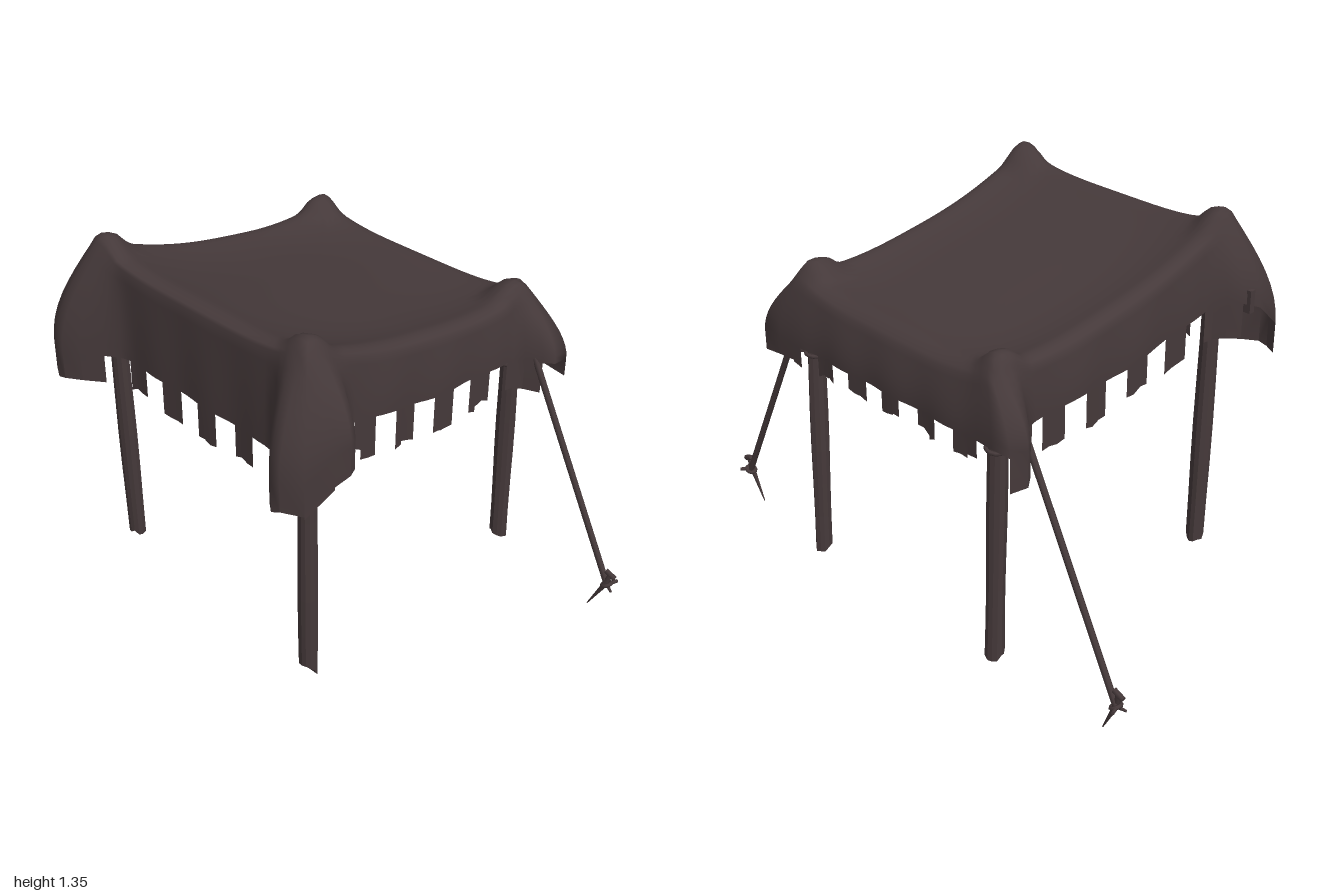
import * as THREE from 'three';

const fabric = new THREE.MeshStandardMaterial({ color: 0x45393a, side: THREE.DoubleSide });
fabric.name = 'dark brown';

const V = (x, y, z) => new THREE.Vector3(x, y, z);
const lerp = THREE.MathUtils.lerp;
const hash = (n) => { const s = Math.sin(n * 12.9898 + 4.1) * 43758.5453; return s - Math.floor(s); };

// ---- Canopy: square rings from the centre outwards, then down the skirt ----
const COLS = 35, TOTAL = COLS * 4;
const HALF_X = 0.5, MID_Z = -0.04, HALF_Z = 0.535;
// capX and capZ: where the cloth bulges over the pole
const POLES = [
  { x: 0.452, zTop: 0.45, zBottom: 0.443, top: 1.33, bottom: 0.04, cut: 0.035, capX: 0.442, capZ: 0.435 },
  { x: -0.46, zTop: 0.455, zBottom: 0.435, top: 1.31, bottom: 0.1, cut: 0.012, capX: -0.46, capZ: 0.46 },
  { x: 0.455, zTop: -0.515, zBottom: -0.55, top: 1.12, bottom: 0.06, cut: 0.015, capX: 0.45, capZ: -0.49 },
  { x: -0.46, zTop: -0.515, zBottom: -0.545, top: 1.09, bottom: 0.08, cut: 0.015, capX: -0.46, capZ: -0.51 },
];

// height of the sagging cloth, s and t run from -1 to 1
function clothHeight(s, t) {
  const a = (s + 1) / 2, b = (t + 1) / 2;
  let y = lerp(lerp(1.145, 1.165, a), lerp(1.36, 1.375, a), b);
  const sagZ = 1 - Math.abs(t) ** (t > 0 ? 2.3 : 3);
  y -= 0.068 * (1 - s ** 4) + 0.09 * sagZ - 0.03 * (1 - s * s) * (1 - t * t);
  const x = s * HALF_X, z = MID_Z + t * HALF_Z;
  for (const p of POLES) y += 0.04 * Math.exp(-((((x - p.capX) ** 2 + (z - p.capZ) ** 2) / 0.0042) ** 2));
  const r = Math.max(Math.abs(s), Math.abs(t));
  return y - 0.04 * Math.max(0, (r - 0.88) / 0.12) ** 2 - 0.04 * (s * t) ** 10;
}

// position on the unit square: front, left (+x), back, right (-x)
function squarePoint(q) {
  const side = Math.floor(q) % 4, u = (q - Math.floor(q)) * 2 - 1;
  return [[u, 1], [1, -u], [-u, -1], [-1, u]][side];
}

// folds that flare out around the corners: place on the rim, offset, width
const LOBES = [
  [0.95, 0.03, 0.12, 0.06], [1.06, 0.1, 0, 0.055], [1.98, 0.11, -0.005, 0.06],
  [3.02, -0.1, -0.005, 0.06], [3.95, -0.07, 0, 0.05], [0.04, -0.09, 0.125, 0.07],
];

// skirt hem above the tabs
function hemHeight(q) {
  const side = Math.floor(q) % 4, u = q - Math.floor(q);
  if (side === 0) return 0.935;
  if (side === 2) return 0.88;
  const k = side === 1 ? u : 1 - u;
  const y = k < 0.5 ? lerp(1.06, 0.935, k / 0.5) : lerp(0.935, 0.885, (k - 0.5) / 0.5);
  return lerp(0.935, y, Math.min(1, k / 0.04));
}

function skirtPoint(q, v) {
  const [s, t] = squarePoint(q);
  const top = clothHeight(s, t), out = Math.sin(Math.min(v, 1) * Math.PI / 2);
  const fold = 0.004 * Math.sin(q * Math.PI * 8);
  const nx = Math.abs(s) > 0.999 ? s : 0, nz = Math.abs(t) > 0.999 ? t : 0;
  let x = s * HALF_X + nx * out * (0.018 + fold);
  let z = MID_Z + t * HALF_Z + nz * out * ((nz < 0 ? 0.035 : 0.01) + fold);
  for (const [lq, dx, dz, w] of LOBES) {
    let d = Math.abs(q - lq);
    d = Math.min(d, 4 - d);
    const f = Math.exp(-(Math.abs(d / w) ** 2.5)) * out;
    x += dx * f;
    z += dz * f;
  }
  return V(x, lerp(top, hemHeight(q), v), z);
}

function makeCanopy() {
  const TOP = 20, SKIRT = 8, pos = [], index = [];
  for (let k = 0; k <= TOP; k++) {
    const r = 1 - (1 - k / TOP) ** 1.3;
    for (let j = 0; j < TOTAL; j++) {
      const [s, t] = squarePoint(j / COLS);
      pos.push(s * r * HALF_X, clothHeight(s * r, t * r), MID_Z + t * r * HALF_Z);
    }
  }
  for (let k = 1; k <= SKIRT; k++)
    for (let j = 0; j < TOTAL; j++) pos.push(...skirtPoint(j / COLS, k / SKIRT).toArray());
  for (let k = 0; k < TOP + SKIRT; k++)
    for (let j = 0; j < TOTAL; j++) {
      const j2 = (j + 1) % TOTAL, a = k * TOTAL + j, b = a + TOTAL;
      const c = (k + 1) * TOTAL + j2, d = k * TOTAL + j2;
      index.push(a, b, c, a, c, d);
    }
  // ragged tabs hanging from the hem
  const hem = (TOP + SKIRT) * TOTAL;
  for (let j = 0; j < TOTAL; j++) {
    const side = Math.floor(j / COLS), u = j % COLS;
    const flap = side === 0 && (u < 4 || u > 30);
    if (!flap && u % 6 >= 3) continue;
    const length = [0.11, 0.12, 0.065, 0.12][side] * (0.85 + 0.35 * hash(Math.floor(j / 6)));
    const j2 = (j + 1) % TOTAL, base = pos.length / 3;
    for (const [n, e] of [[j, 0], [j2, 1]]) {
      const i = (hem + n) * 3;
      pos.push(pos[i], pos[i + 1] - length + 0.018 * (hash(j + e) - 0.5), pos[i + 2]);
    }
    index.push(hem + j, base, base + 1, hem + j, base + 1, hem + j2);
  }
  const g = new THREE.BufferGeometry();
  g.setAttribute('position', new THREE.Float32BufferAttribute(pos, 3));
  g.setIndex(index);
  g.computeVertexNormals();
  return g;
}

// ---- Helpers ----
function add(parent, name, geometry) {
  const m = new THREE.Mesh(geometry, fabric);
  m.name = name;
  parent.add(m);
  return m;
}

// straight round bar between two points
function bar(parent, name, a, b, r0, r1 = r0, sides = 8) {
  const d = b.clone().sub(a);
  const m = add(parent, name, new THREE.CylinderGeometry(r1, r0, d.length(), sides));
  m.position.copy(a).addScaledVector(d, 0.5);
  m.quaternion.setFromUnitVectors(V(0, 1, 0), d.normalize());
}

// rough pole with a splintered foot
function makePole(p, seed) {
  const h = p.top - p.bottom;
  const g = new THREE.CylinderGeometry(0.032, 0.032, h, 12, 8).toNonIndexed();
  const a = g.attributes.position;
  for (let i = 0; i < a.count; i++) {
    const x = a.getX(i), y = a.getY(i), z = a.getZ(i), f = 0.5 - y / h;
    const n = Math.round(Math.atan2(z, x) / (Math.PI / 6) + 12) % 12;
    const k = 1 + 0.14 * (hash(n + seed * 20) - 0.5) + 0.05 * Math.sin(f * 9 + seed);
    const foot = f > 0.99 && Math.hypot(x, z) > 0.01 ? p.cut * (z / 0.032) + 0.02 * (hash(n + seed * 7) - 0.5) : 0;
    a.setXYZ(i, p.x + x * k, p.bottom + h / 2 + y + foot, lerp(p.zTop, p.zBottom, f) + z * k);
  }
  g.computeVertexNormals();
  return g;
}

// guy rope with its stake and knot, m = side sign
function makeGuyRope(m) {
  const g = new THREE.Group();
  g.name = m > 0 ? 'leftGuyRope' : 'rightGuyRope';
  const end = V(m * 0.965, 0.145, -0.515);
  bar(g, 'rope', V(m * 0.475, 1.08, -0.51), end, 0.011);
  bar(g, 'stake', V(m * 0.905, 0.025, -0.505), V(m * 0.965, 0.15, -0.51), 0.002, 0.011, 6);
  bar(g, 'stakeTop', V(m * 0.96, 0.14, -0.51), V(m * 0.975, 0.195, -0.515), 0.01, 0.009, 6);
  bar(g, 'stakeHead', V(m * 0.955, 0.2, -0.515), V(m * 0.993, 0.185, -0.515), 0.01, 0.01, 6);
  bar(g, 'stakeHook', V(m * 0.965, 0.145, -0.51), V(m * 0.985, 0.15, -0.55), 0.009, 0.006, 6);
  const knot = add(g, 'knot', new THREE.TorusGeometry(0.017, 0.007, 6, 12));
  knot.position.copy(end);
  knot.rotation.set(Math.PI / 2, m * 0.5, 0);
  bar(g, 'ropeTail', end, V(m * 0.995, 0.135, -0.5), 0.007, 0.004, 6);
  return g;
}

export function createModel() {
  const root = new THREE.Group();
  root.name = 'marketCanopy';
  add(root, 'canopyCloth', makeCanopy());

  const names = ['frontLeftPole', 'frontRightPole', 'backLeftPole', 'backRightPole'];
  POLES.forEach((p, i) => add(root, names[i], makePole(p, i + 1)));

  // rope bindings on the back poles
  for (const p of POLES.slice(2))
    for (let i = 0; i < 4; i++) {
      const ring = add(root, 'poleBinding', new THREE.TorusGeometry(0.036, 0.007, 6, 14));
      ring.position.set(p.x, 0.83 + i * 0.03, p.zTop - 0.01);
      ring.rotation.set(Math.PI / 2 + (i % 2 ? 0.15 : -0.15), 0.1, 0);
    }
  for (const m of [1, -1]) root.add(makeGuyRope(m));

  // plank across the front poles, its right end sticking out
  const plank = add(root, 'frontPlank', new THREE.BoxGeometry(1.14, 0.08, 0.022));
  plank.position.set(-0.04, 1.05, 0.472);
  return root;
}
